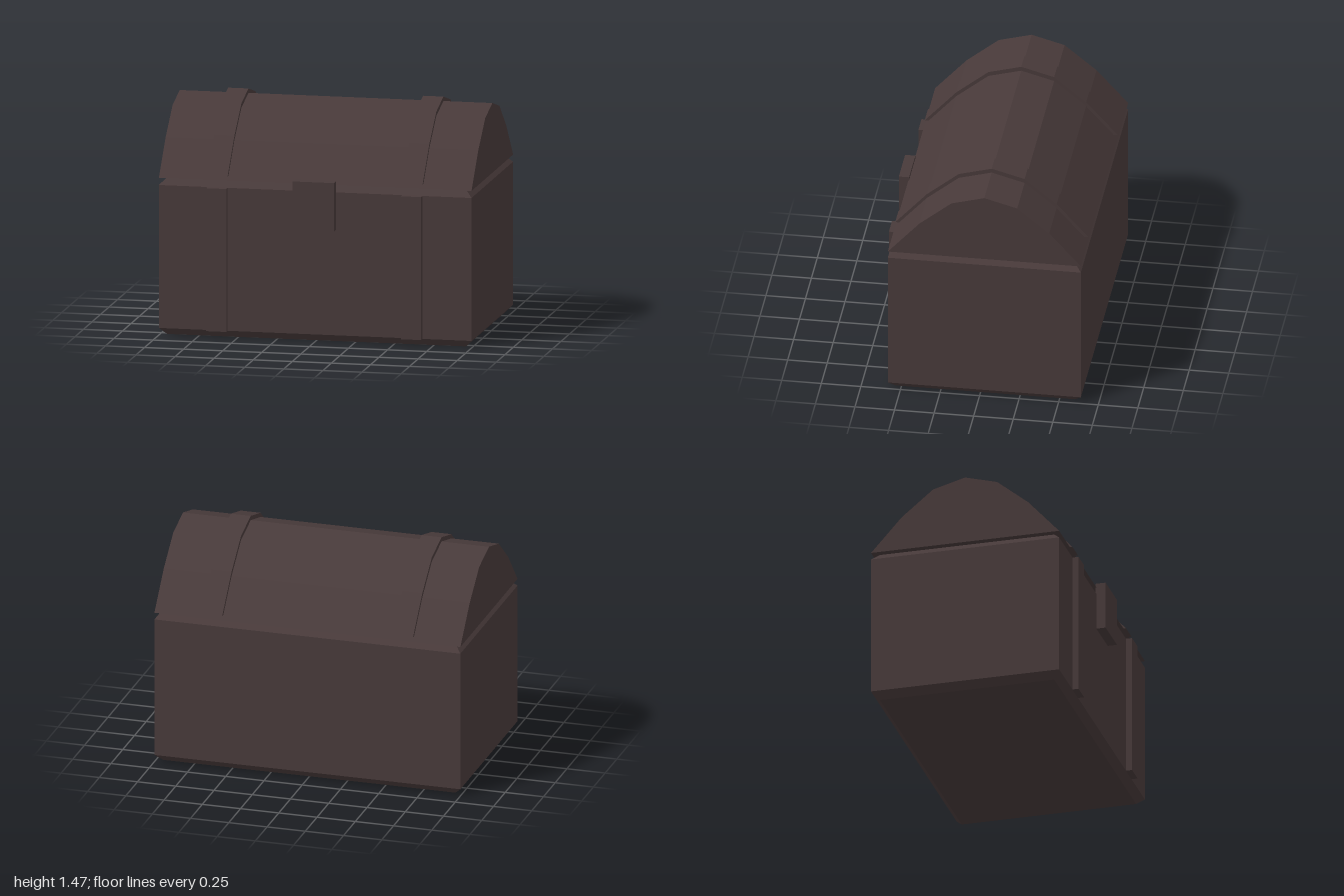
import * as THREE from 'three';

const MID_Z = -0.03; // centre of chest box; the latch projects forward of it

export function createModel() {
  const group = new THREE.Group();
  const wood = new THREE.MeshStandardMaterial({ color: 0x483a3a });
  wood.name = 'darkWood';

  const add = (name, geometry, x = 0, y = 0, z = 0) => {
    const mesh = new THREE.Mesh(geometry, wood);
    mesh.name = name;
    mesh.position.set(x, y, z);
    group.add(mesh);
  };

  // Body: box with chamfered bottom and top edges
  const c = 0.045, hx = 1 - c, hz = 0.61 - c;
  const base = new THREE.Shape([[-hx, -hz], [hx, -hz], [hx, hz], [-hx, hz]]
    .map(([x, y]) => new THREE.Vector2(x, y)));
  const body = new THREE.ExtrudeGeometry(base, {
    depth: 0.91, bevelEnabled: true, bevelSegments: 1, bevelSize: c, bevelThickness: c,
  });
  body.rotateX(-Math.PI / 2);
  add('body', body, 0, c, MID_Z);

  // Faceted arch, extruded along x; used for the lid and its straps
  const half = [[0.61, 0], [0.41, 0.222], [0.208, 0.387]];
  const profile = [...half, [0, 0.444], ...half.slice().reverse().map(([z, y]) => [-z, y])];
  const arch = (width) => {
    const shape = new THREE.Shape(profile.map(([z, y]) => new THREE.Vector2(z, y)));
    const g = new THREE.ExtrudeGeometry(shape, { depth: width, bevelEnabled: false });
    g.translate(0, 0, -width / 2);
    g.rotateY(-Math.PI / 2);
    return g;
  };
  add('lid', arch(2), 0, 1, MID_Z);

  // Straps over the lid and down the front
  for (const [side, x] of [['left', 0.622], ['right', -0.625]]) {
    add(side + 'LidStrap', arch(0.13), x, 1.028, MID_Z);
    add(side + 'FrontStrap', new THREE.BoxGeometry(0.13, 0.91, 0.06), x, 0.5, 0.59);
  }

  // Latch
  add('latch', new THREE.BoxGeometry(0.265, 0.31, 0.065), 0, 0.87, 0.6075);

  return group;
}
